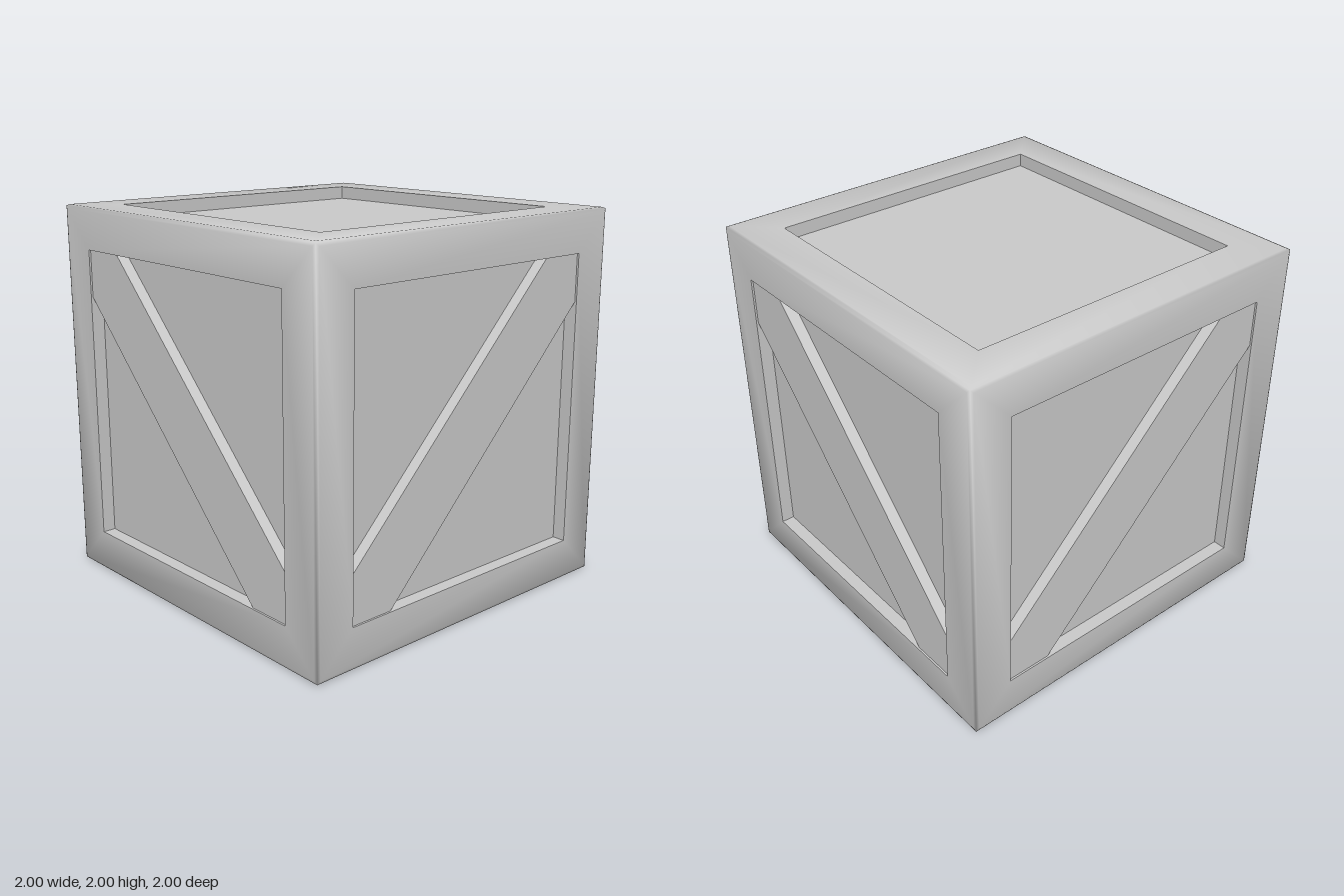
import * as THREE from 'three';

const OPEN = 0.78;   // half width of the recessed opening
const FLOOR = 0.93;  // distance of the panels from the centre
const material = new THREE.MeshStandardMaterial({ color: 0xcccccc });

// One side of the frame, facing +z: square loops joined into recess wall, flat face and rounded edge.
// Each band is a pair of [half width, height, sideways tilt of normal, forward normal].
function frameSide() {
  const bands = [
    [[OPEN, FLOOR, -1, 0], [OPEN, 1, -1, 0]],
    [[OPEN, 1, 0, 1], [0.98, 1, 0.25, 1]],
    [[0.98, 1, 0.25, 1], [0.994, 0.994, 1, 1]],
  ];
  const corners = [[-1, -1], [1, -1], [1, 1], [-1, 1]];
  const position = [], normal = [], index = [];
  for (const [inner, outer] of bands) {
    for (let i = 0; i < 4; i++) {
      const a = corners[i], b = corners[(i + 1) % 4];
      const mid = [(a[0] + b[0]) / 2, (a[1] + b[1]) / 2];
      const base = position.length / 3;
      for (const [c, [half, height, tilt, forward]] of [[a, outer], [b, outer], [b, inner], [a, inner]]) {
        position.push(c[0] * half, c[1] * half, height);
        // recess walls stay flat, the outer face blends into the corners
        const side = forward === 0 ? mid : c;
        const n = new THREE.Vector3(side[0] * tilt, side[1] * tilt, forward).normalize();
        normal.push(n.x, n.y, n.z);
      }
      index.push(base, base + 1, base + 2, base, base + 2, base + 3);
    }
  }
  const geometry = new THREE.BufferGeometry();
  geometry.setAttribute('position', new THREE.Float32BufferAttribute(position, 3));
  geometry.setAttribute('normal', new THREE.Float32BufferAttribute(normal, 3));
  geometry.setIndex(index);
  return geometry;
}

// Diagonal plank; slope -1 falls to the right, +1 rises to the right
function braceGeometry(slope) {
  const cut = 0.53;
  const points = [
    [-OPEN, cut], [-OPEN, OPEN], [-cut, OPEN],
    [OPEN, -cut], [OPEN, -OPEN], [cut, -OPEN],
  ].map(([x, y]) => new THREE.Vector2(x, -slope * y));
  return new THREE.ExtrudeGeometry(new THREE.Shape(points), { depth: 0.06, bevelEnabled: false })
    .translate(0, 0, FLOOR);
}

export function createModel() {
  const model = new THREE.Group();
  model.name = 'crate';
  const frame = frameSide();
  const panel = new THREE.PlaneGeometry(2 * OPEN, 2 * OPEN).translate(0, 0, FLOOR);
  const q = Math.PI / 2;

  // name, rotation about x, rotation about y, slope of the brace (0 for none)
  const sides = [
    ['front', 0, 0, -1], ['right', 0, q, 1], ['back', 0, 2 * q, -1],
    ['left', 0, -q, 1], ['top', -q, 0, 0], ['bottom', q, 0, 0],
  ];
  for (const [name, rx, ry, slope] of sides) {
    const side = new THREE.Group();
    side.name = name + 'Side';
    const add = (part, geometry) => {
      const mesh = new THREE.Mesh(geometry, material);
      mesh.name = part;
      side.add(mesh);
    };
    add('frame', frame);
    add('panel', panel);
    if (slope) add('diagonalBrace', braceGeometry(slope));
    side.rotation.set(rx, ry, 0);
    side.position.y = 1;
    model.add(side);
  }
  return model;
}
